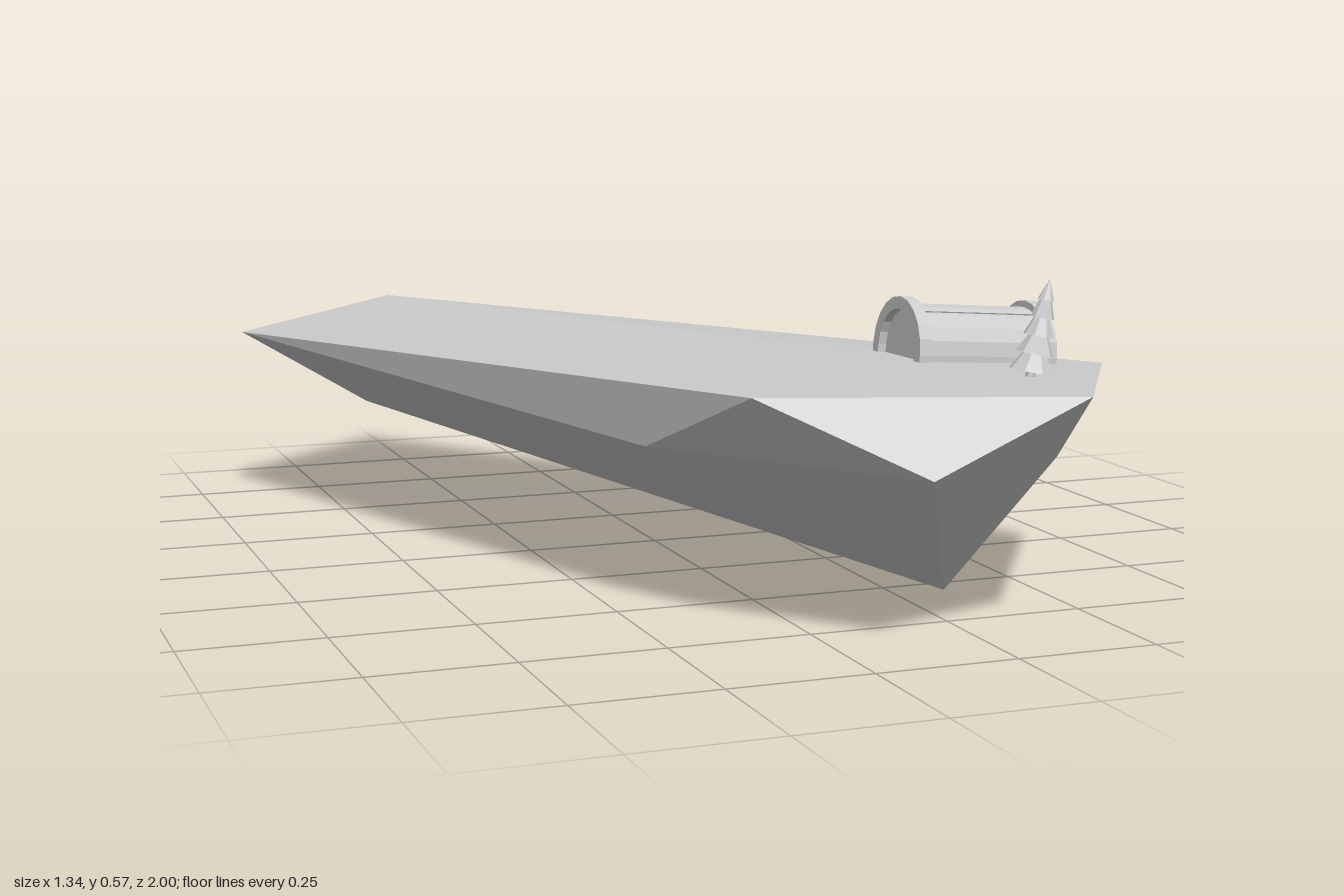
import * as THREE from 'three';

const mat = new THREE.MeshStandardMaterial({ color: 0xcccccc, flatShading: true, side: THREE.DoubleSide });

function add(parent, name, geometry, x = 0, y = 0, z = 0) {
  const mesh = new THREE.Mesh(geometry, mat);
  mesh.name = name;
  mesh.position.set(x, y, z);
  parent.add(mesh);
  return mesh;
}

// Faceted floating rock: named corners, each face turned away from the middle
function rockGeometry() {
  const P = {
    A: [-0.14, 0.413, 0.83], B: [0.37, 0.413, 1], C: [0.67, 0.386, 0.52],
    D: [-0.28, 0.38, -1], E: [-0.67, 0.354, -0.675], T: [0.15, 0.414, 0.25],
    F: [0.095, 0.295, 1], G: [0.4, 0.31, -0.11], H: [0.345, 0, 0.55],
    I: [-0.4, 0.188, -0.71], J: [-0.22, 0.295, 0.56], K: [0.405, 0.285, 0.83],
    L: [0.48, 0.205, 0.455], M: [0.545, 0.285, 0.47],
  };
  const faces = 'TAB TBC TCD TDE TEA AFB AJF AEJ EDI DGI GHI DCG CMG MLG LHG LKH MKL CKM CBK BFH BKH JFH EIJ IHJ';
  const centre = new THREE.Vector3(0.1, 0.3, 0.25);
  const pos = [];
  for (const f of faces.split(' ')) {
    const [a, b, c] = [...f].map((k) => new THREE.Vector3(...P[k]));
    const n = b.clone().sub(a).cross(c.clone().sub(a));
    const tri = n.dot(a.clone().sub(centre)) > 0 ? [a, b, c] : [a, c, b];
    tri.forEach((v) => pos.push(v.x, v.y, v.z));
  }
  const g = new THREE.BufferGeometry();
  g.setAttribute('position', new THREE.Float32BufferAttribute(pos, 3));
  g.computeVertexNormals();
  return g;
}

// Half-round arch (ring or solid) running along x, centred on its length
function archGeometry(outer, inner, length, legs, segments) {
  const s = new THREE.Shape();
  const arc = (r, from, to) => {
    for (let i = 0; i <= segments; i++) {
      const t = from + ((to - from) * i) / segments;
      s.lineTo(Math.cos(t) * r, Math.sin(t) * r);
    }
  };
  s.moveTo(outer, -legs);
  arc(outer, 0, Math.PI);
  s.lineTo(-outer, -legs);
  if (inner > 0) {
    s.lineTo(-inner, -legs);
    arc(inner, Math.PI, 0);
    s.lineTo(inner, -legs);
  }
  s.closePath();
  const g = new THREE.ExtrudeGeometry(s, { depth: length, bevelEnabled: false });
  return g.translate(0, 0, -length / 2).rotateY(Math.PI / 2);
}

// Arched hut with a rim at both ends
function makeHut() {
  const hut = new THREE.Group();
  hut.name = 'hut';
  add(hut, 'hutRoof', archGeometry(0.082, 0.074, 0.24, 0.02, 10));
  for (const side of [-1, 1]) {
    add(hut, 'hutRim', archGeometry(0.094, 0.072, 0.022, 0.02, 10), side * 0.124);
    add(hut, 'hutEndWall', archGeometry(0.073, 0, 0.008, 0.02, 10), side * 0.116);
  }
  // Thin seams along the roof
  for (const t of [0.35, 0.65]) {
    const a = t * Math.PI;
    const seam = add(hut, 'roofSeam', new THREE.BoxGeometry(0.23, 0.005, 0.006), 0, Math.sin(a) * 0.081, Math.cos(a) * 0.081);
    seam.rotation.x = Math.PI / 2 - a;
  }
  hut.position.set(0.42, 0.413, 0.465);
  hut.rotation.z = -0.07;
  return hut;
}

// Leaning conifer of stacked tapering tiers
function makeTree() {
  const tree = new THREE.Group();
  tree.name = 'tree';
  add(tree, 'trunk', new THREE.CylinderGeometry(0.007, 0.009, 0.05, 6), 0, 0.015, 0);
  const tiers = 5;
  for (let i = 0; i < tiers; i++) {
    const r = 0.039 - i * 0.0062;
    const top = i === tiers - 1 ? 0 : r * 0.42;
    const tier = add(tree, 'foliageTier', new THREE.CylinderGeometry(top, r, 0.037, 8), 0, 0.029 + i * 0.0305, 0);
    tier.rotation.y = i * 0.4;
  }
  tree.position.set(0.4, 0.405, 0.742);
  tree.rotation.z = -0.2;
  return tree;
}

export function createModel() {
  const model = new THREE.Group();
  model.name = 'floatingIsland';
  add(model, 'rock', rockGeometry());
  model.add(makeHut(), makeTree());
  return model;
}
